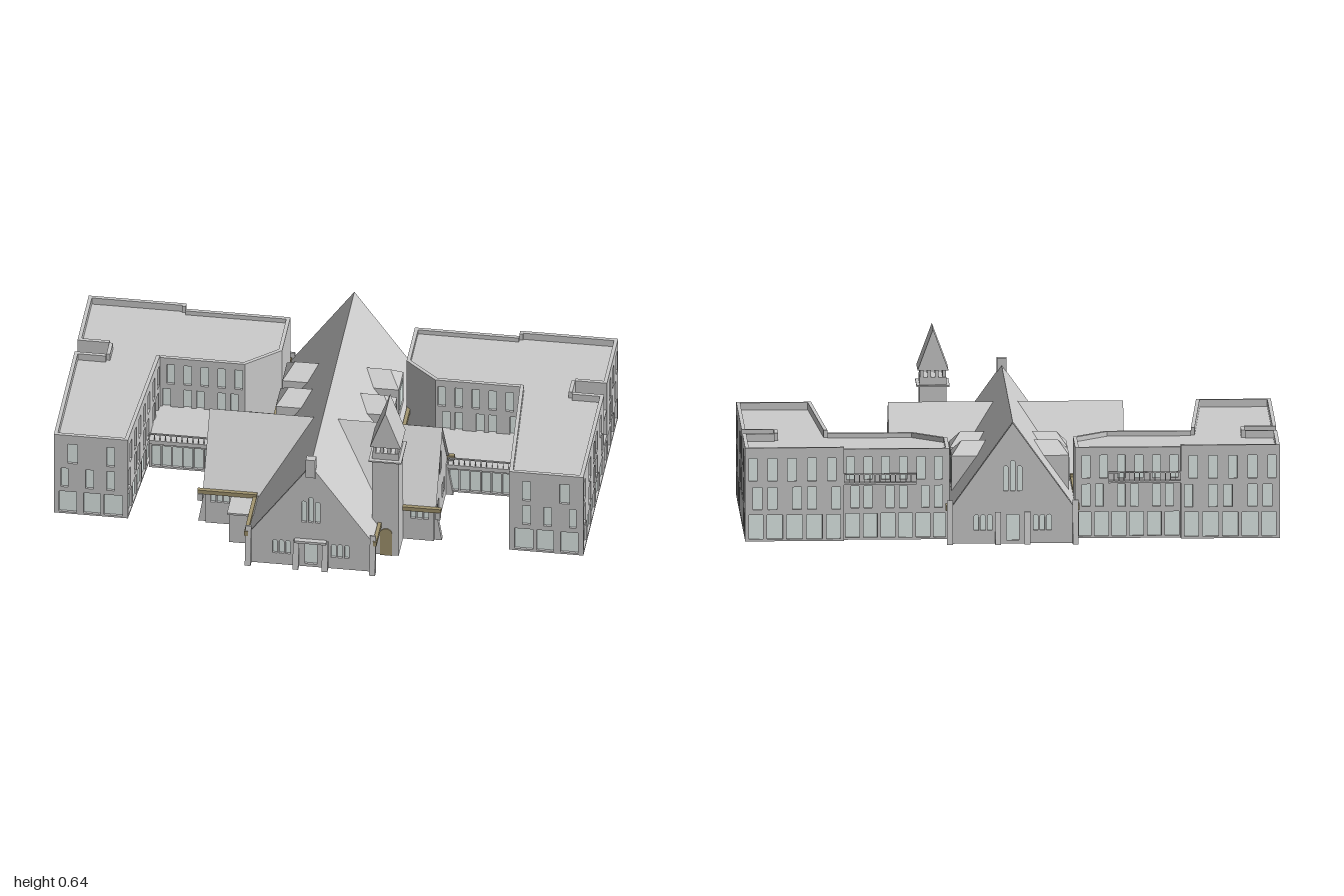
import * as THREE from 'three';

const grey = new THREE.MeshStandardMaterial({ color: 0xcccccc, side: THREE.DoubleSide, flatShading: true });
const glass = new THREE.MeshStandardMaterial({ color: 0xe4efec, side: THREE.DoubleSide });
const brown = new THREE.MeshStandardMaterial({ color: 0xa39670 });
const T = 0.014; // wall thickness

function add(parent, name, geometry, material = grey) {
  const mesh = new THREE.Mesh(geometry, material);
  mesh.name = name;
  parent.add(mesh);
  return mesh;
}

// box given by its limits
function box(parent, name, x0, x1, y0, y1, z0, z1, material = grey) {
  const m = add(parent, name, new THREE.BoxGeometry(x1 - x0, y1 - y0, z1 - z0), material);
  m.position.set((x0 + x1) / 2, (y0 + y1) / 2, (z0 + z1) / 2);
  return m;
}

// flat faces, each a list of 3 or 4 corners
function faces(parent, name, list, material = grey) {
  const v = [];
  for (const [a, b, c, d] of list) {
    v.push(...a, ...b, ...c);
    if (d) v.push(...a, ...c, ...d);
  }
  const g = new THREE.BufferGeometry();
  g.setAttribute('position', new THREE.Float32BufferAttribute(v, 3));
  g.computeVertexNormals();
  return add(parent, name, g, material);
}

const polygon = (pts) => new THREE.Shape(pts.map(([x, y]) => new THREE.Vector2(x, y)));

// opening [u0, u1, v0, v1, arched]
function opening([u0, u1, v0, v1, arched]) {
  const r = (u1 - u0) / 2, s = new THREE.Shape();
  s.moveTo(u0, v0).lineTo(u1, v0);
  if (arched) s.lineTo(u1, v1 - r).absarc(u0 + r, v1 - r, r, 0, Math.PI, false);
  else s.lineTo(u1, v1).lineTo(u0, v1);
  s.closePath();
  return s;
}

// wall from a to b (x, z pairs), outside on the right-hand side, with glazed openings
function wall(parent, name, a, b, outline, holes = []) {
  const g = new THREE.Group();
  g.name = name;
  const shape = polygon(outline);
  const shapes = holes.map(opening);
  shape.holes.push(...shapes);
  add(g, 'wallPanel', new THREE.ExtrudeGeometry(shape, { depth: T, bevelEnabled: false, curveSegments: 5 })).position.z = -T;
  if (shapes.length) add(g, 'windowGlass', new THREE.ShapeGeometry(shapes, 5), glass).position.z = -T * 0.65;
  g.position.set(a[0], 0, a[1]);
  g.rotation.y = Math.atan2(a[1] - b[1], b[0] - a[0]);
  parent.add(g);
  return g;
}
const rect = (len, y0, y1) => [[0, y0], [len, y0], [len, y1], [0, y1]];
const dist = (a, b) => Math.hypot(b[0] - a[0], b[1] - a[1]);

// three storeys of openings: [bottom, top] of each
const ROWS = [[0.018, 0.11], [0.13, 0.215], [0.238, 0.325]];
const storeys = (...rows) => rows.flatMap((row, i) => row.map(([u0, u1]) => [u0, u1, ...ROWS[i]]));
function evenStoreys(len, n) {
  const s = len / n, k = [...Array(n).keys()];
  return storeys(k.map((i) => [(i + 0.1) * s, (i + 0.9) * s]),
    k.map((i) => [(i + (i % 2 ? 0.15 : 0.4)) * s, (i + (i % 2 ? 0.6 : 0.85)) * s]),
    k.map((i) => [(i + 0.15) * s, (i + 0.6) * s]));
}

function railing(parent, x0, x1, y, z, h) {
  box(parent, 'handrail', x0, x1, y + h - 0.005, y + h, z - 0.003, z + 0.003);
  const n = Math.round((x1 - x0) / 0.02);
  for (let i = 0; i <= n; i++) {
    const x = x0 + (x1 - x0) * i / n;
    box(parent, 'railingPost', x - 0.0015, x + 0.0015, y, y + h, z - 0.0015, z + 0.0015);
  }
}

function makeWing() {
  const g = new THREE.Group();
  g.name = 'wing';
  // footprint, with the balcony recess in the outer side
  const P = [[0.72, 0.37], [1, 0.37], [1, -0.18], [0.88, -0.18], [0.88, -0.255], [1, -0.255], [1, -0.55],
    [0.63, -0.55], [0.63, -0.53], [0.235, -0.53], [0.235, -0.31], [0.36, -0.2], [0.68, -0.2]];
  const holes = {
    0: storeys([[0.02, 0.086], [0.112, 0.176], [0.19, 0.26]], [[0.027, 0.053], [0.12, 0.15], [0.2, 0.23]], [[0.053, 0.09], [0.2, 0.23]])
      .map(([a, b, c, d]) => [0.28 - b, 0.28 - a, c, d]).map(([a, b, c, d]) => [0.28 - b, 0.28 - a, c, d]),
    1: storeys([[0.018, 0.095], [0.107, 0.198], [0.222, 0.31], [0.33, 0.42], [0.44, 0.525]],
      [[0.018, 0.063], [0.155, 0.2], [0.265, 0.31], [0.33, 0.375], [0.485, 0.525]],
      [[0.018, 0.063], [0.155, 0.2], [0.265, 0.31], [0.33, 0.375], [0.44, 0.485]]),
    5: storeys([[0.03, 0.095], [0.118, 0.185], [0.207, 0.275]], [[0.065, 0.1], [0.115, 0.15], [0.207, 0.24]],
      [[0.065, 0.1], [0.15, 0.185], [0.24, 0.275]]),
    6: evenStoreys(0.37, 5), 8: evenStoreys(0.395, 6), 11: evenStoreys(0.32, 5).filter((h) => h[2] > 0.12), 12: evenStoreys(0.571, 7),
  };
  // front windows run from the outer corner inwards
  holes[0] = holes[0].map(([a, b, c, d]) => [0.28 - b, 0.28 - a, c, d]);
  P.forEach((a, i) => {
    const b = P[(i + 1) % P.length], len = dist(a, b);
    const bottom = i >= 2 && i <= 4 ? 0.13 : 0.01, top = i >= 8 && i <= 11 ? 0.355 : 0.365;
    wall(g, 'wingWall', a, b, rect(len, bottom, top), holes[i]);
  });
  wall(g, 'recessBaseWall', [1, -0.18], [1, -0.255], rect(0.075, 0.01, 0.132), [[0.005, 0.07, 0.018, 0.11]]);
  box(g, 'recessFloor', 0.88, 0.998, 0.122, 0.132, -0.255, -0.18);
  box(g, 'recessBalcony', 0.88, 0.998, 0.235, 0.242, -0.255, -0.18);
  const roof = new THREE.ExtrudeGeometry(polygon(P.map(([x, z]) => [x, -z])), { depth: 0.01, bevelEnabled: false });
  add(g, 'flatRoof', roof.rotateX(-Math.PI / 2)).position.y = 0.327;

  // rear balcony
  box(g, 'rearBalcony', 0.36, 0.63, 0.222, 0.23, -0.55, -0.53);
  railing(g, 0.36, 0.63, 0.23, -0.548, 0.035);

  // glazed link with a terrace on top
  box(g, 'terraceSlab', 0.235, 0.69, 0.118, 0.135, -0.21, 0.03);
  wall(g, 'linkGlazing', [0.44, 0.025], [0.69, 0.025], rect(0.25, 0.01, 0.118),
    [...Array(6).keys()].map((i) => [0.006 + i * 0.04, 0.04 + i * 0.04, 0.018, 0.11]));
  railing(g, 0.44, 0.69, 0.135, 0.026, 0.03);
  return g;
}

// sloped buttress whose back touches z = 0 and which leans out to +z
function buttress(parent, x, z, turn, h = 0.16) {
  const geo = new THREE.ExtrudeGeometry(polygon([[0, 0], [0.03, 0], [0.008, h], [0, h]]), { depth: 0.022, bevelEnabled: false });
  geo.translate(0, 0, -0.011).rotateY(-Math.PI / 2);
  const m = add(parent, 'buttress', geo);
  m.position.set(x, 0, z);
  m.rotation.y = turn;
}

const RIDGE = 0.463, SLOPE = 1.4;
const roofY = (x) => RIDGE - SLOPE * Math.abs(x);

// everything of the church that is the same on both sides
function makeChurchHalf() {
  const g = new THREE.Group();
  g.name = 'churchHalf';
  // nave roof and side walls
  faces(g, 'naveRoof', [[[0, RIDGE, 0.575], [0.245, roofY(0.245), 0.575], [0.245, roofY(0.245), -0.575], [0, RIDGE, -0.575]]]);
  wall(g, 'naveSideFront', [0.225, 0.56], [0.225, 0.34], rect(0.22, 0, 0.14),
    [[0.015, 0.04, 0.05, 0.078], [0.08, 0.1, 0.05, 0.078]]);
  wall(g, 'naveSideRear', [0.225, 0], [0.225, -0.56], rect(0.56, 0, 0.14));
  box(g, 'naveGutter', 0.236, 0.25, 0.125, 0.145, 0.35, 0.585, brown);
  box(g, 'naveGutter', 0.236, 0.25, 0.125, 0.145, -0.575, -0.01, brown);
  // transept roof with valleys against the nave
  const top = 0.4, eave = 0.145, zc = 0.17, xr = (RIDGE - top) / SLOPE, xe = (RIDGE - eave) / SLOPE;
  for (const s of [-1, 1]) {
    const z = zc + s * 0.178;
    faces(g, 'transeptRoof', [[[xr, top, zc], [0.44, top, zc], [0.44, eave, z], [xe, eave, z]]]);
    box(g, 'transeptGutter', 0.235, 0.46, 0.138, 0.155, z - 0.008, z + 0.008, brown);
    box(g, 'gutterStop', 0.44, 0.458, 0.11, 0.14, z - 0.012, z + 0.012);
    buttress(g, 0.43, zc + s * 0.15, Math.PI / 2, 0.13);
  }
  // transept walls
  wall(g, 'transeptGable', [0.432, 0.34], [0.432, 0], [[0, 0], [0.34, 0], [0.34, 0.15], [0.17, 0.395], [0, 0.15]],
    [[0.14, 0.155, 0.2, 0.28, 1], [0.163, 0.178, 0.2, 0.3, 1], [0.186, 0.2, 0.2, 0.28, 1],
      [0.06, 0.085, 0.05, 0.11], [0.1, 0.125, 0.05, 0.11], [0.215, 0.24, 0.05, 0.11], [0.255, 0.28, 0.05, 0.11]]);
  wall(g, 'transeptFront', [0.225, 0.34], [0.432, 0.34], rect(0.207, 0, 0.148),
    [[0.118, 0.137, 0.095, 0.135], [0.143, 0.162, 0.095, 0.135], [0.168, 0.187, 0.095, 0.135]]);
  wall(g, 'transeptRear', [0.432, 0], [0.225, 0], rect(0.207, 0, 0.148));
  // dormers with leaning front hips
  for (const z of [-0.27, -0.1]) {
    const a = z - 0.06, b = z + 0.06, e = roofY(0.125), r = roofY(0.09), f = roofY(0.22);
    faces(g, 'dormer', [
      [[0.18, r, z], [0.09, r, z], [0.125, e, a], [0.22, e, a]],
      [[0.18, r, z], [0.22, e, b], [0.125, e, b], [0.09, r, z]],
      [[0.18, r, z], [0.22, e, a], [0.22, e, b]],
      [[0.22, f, b], [0.22, f, a], [0.22, e, a], [0.22, e, b]],
      [[0.22, f, a], [0.125, e, a], [0.22, e, a]],
      [[0.22, f, b], [0.22, e, b], [0.125, e, b]]]);
    box(g, 'dormerWindow', 0.219, 0.222, f + 0.03, e - 0.015, z - 0.04, z + 0.04, glass);
  }
  // gable buttresses
  for (const x of [0.055, 0.235]) {
    const h = x < 0.1 ? 0.12 : 0.165;
    buttress(g, x, 0.57, 0, h);
    buttress(g, x, -0.57, Math.PI, h);
  }
  return g;
}

function makeTower() {
  const g = new THREE.Group();
  g.name = 'tower';
  const x0 = 0.215, x1 = 0.315, z0 = 0.34, z1 = 0.455, xm = 0.265;
  box(g, 'towerShaft', x0, x1, 0, 0.46, z0, z1);
  box(g, 'towerLedge', x0 - 0.012, x1 + 0.012, 0.426, 0.432, z0 - 0.015, z1 + 0.015);
  for (let i = 0; i < 4; i++) for (let j = 0; j < 4; j++) {
    if (i % 3 && j % 3) continue;
    const x = x0 + 0.008 + i * 0.028, z = z0 + 0.008 + j * 0.033;
    box(g, 'belfryPost', x - 0.006, x + 0.006, 0.46, 0.492, z - 0.006, z + 0.006);
  }
  add(g, 'towerRoof', new THREE.ExtrudeGeometry(polygon([[xm - 0.058, 0.488], [xm + 0.058, 0.488], [xm, 0.645]]),
    { depth: 0.13, bevelEnabled: false })).position.z = 0.33;
  const door = new THREE.ExtrudeGeometry(opening([0.245, 0.29, 0, 0.12, 1]), { depth: 0.004, bevelEnabled: false, curveSegments: 6 });
  add(g, 'towerDoor', door, brown).position.z = z1;
  return g;
}

export function createModel() {
  const model = new THREE.Group();
  model.name = 'churchWithWings';
  for (const make of [makeWing, makeChurchHalf]) {
    const left = make(), right = make();
    right.scale.x = -1;
    model.add(left, right);
  }
  // front and rear gables, u runs from one corner with the middle at 0.235
  const outline = [[0, 0], [0.47, 0], [0.47, 0.13], [0.235, 0.458], [0, 0.13]];
  const windows = [[0.2, 0.218, 0.2, 0.295, 1], [0.226, 0.244, 0.2, 0.315, 1], [0.252, 0.27, 0.2, 0.295, 1], [0.212, 0.258, 0.012, 0.11]];
  for (const u of [0.09, 0.115, 0.14, 0.312, 0.337, 0.362]) windows.push([u, u + 0.018, 0.05, 0.11, 1]);
  wall(model, 'frontGable', [-0.235, 0.572], [0.235, 0.572], outline, windows);
  wall(model, 'rearGable', [0.235, -0.572], [-0.235, -0.572], outline, windows);
  box(model, 'chimney', -0.018, 0.018, 0.41, 0.49, 0.553, 0.582);
  // entrance hood and low annex beside the nave
  box(model, 'entranceHood', -0.06, 0.06, 0.115, 0.125, 0.57, 0.592);
  box(model, 'annex', -0.325, -0.225, 0, 0.13, 0.34, 0.455);
  box(model, 'annexRoof', -0.332, -0.225, 0.13, 0.138, 0.34, 0.465);
  model.add(makeTower());
  return model;
}
